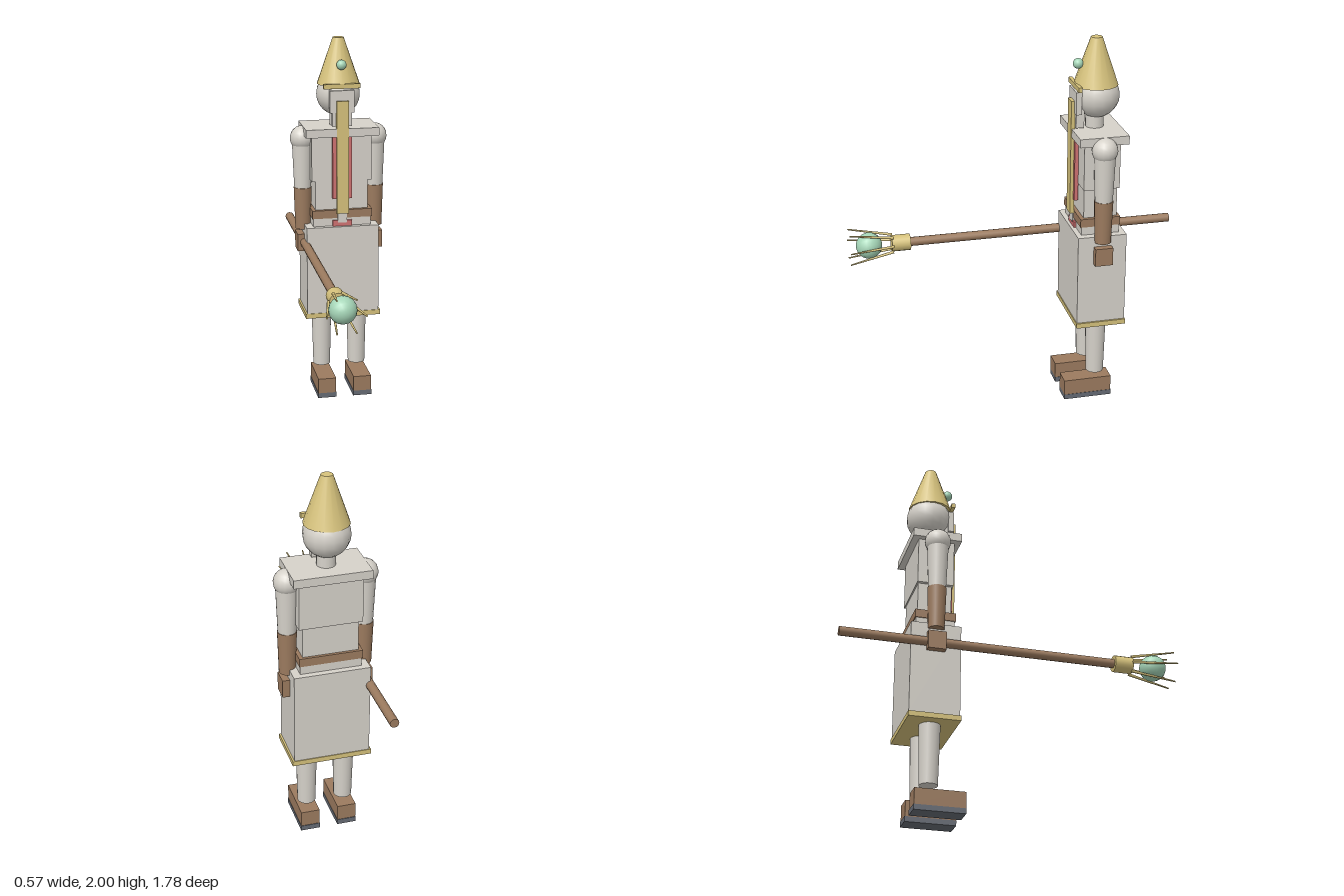
import * as THREE from 'three';

const CX = 0.014, CZ = -0.392; // body axis

export function createModel() {
  const root = new THREE.Group();
  root.name = 'staffBearer';
  const mat = (name, color) => {
    const m = new THREE.MeshStandardMaterial({ color });
    m.name = name;
    return m;
  };
  const cloth = mat('paleCloth', 0xd6d2ca);
  const gold = mat('gold', 0xd6c27c);
  const brown = mat('brownLeather', 0x9c7b5f);
  const red = mat('redTrim', 0xd07272);
  const gem = mat('greenGem', 0xa6d6b8);
  const dark = mat('darkSole', 0x666b74);

  const add = (name, geometry, material, x = 0, y = 0, z = 0, parent = root) => {
    const mesh = new THREE.Mesh(geometry, material);
    mesh.name = name;
    mesh.position.set(x, y, z);
    parent.add(mesh);
    return mesh;
  };
  // Box from its lower and upper limits on each axis
  const box = (name, material, x0, x1, y0, y1, z0, z1) =>
    add(name, new THREE.BoxGeometry(x1 - x0, y1 - y0, z1 - z0), material,
      (x0 + x1) / 2, (y0 + y1) / 2, (z0 + z1) / 2);
  // Box centred on the body's x axis
  const mid = (name, material, half, y0, y1, z0, z1) =>
    box(name, material, CX - half, CX + half, y0, y1, z0, z1);
  // Upright tapered cylinder between two heights
  const post = (name, material, x, z, y0, y1, r0, r1, sides = 16) =>
    add(name, new THREE.CylinderGeometry(r1, r0, y1 - y0, sides), material, x, (y0 + y1) / 2, z);
  const ball = (name, material, r, x, y, z) =>
    add(name, new THREE.SphereGeometry(r, 16, 12), material, x, y, z);

  // Head, hat and face
  ball('head', cloth, 0.12, CX, 1.695, -0.4);
  post('neck', cloth, CX, CZ, 1.51, 1.62, 0.048, 0.048);
  post('hat', gold, CX, -0.395, 1.75, 2, 0.117, 0.03);
  mid('hatBand', gold, 0.1, 1.74, 1.765, -0.297, -0.277);
  ball('hatGem', gem, 0.027, CX, 1.865, -0.299);
  mid('face', cloth, 0.067, 1.61, 1.73, -0.305, -0.275);
  mid('chin', cloth, 0.053, 1.535, 1.72, -0.322, -0.279);

  // Robe
  mid('collar', cloth, 0.2, 1.48, 1.525, -0.522, -0.262);
  mid('chest', cloth, 0.165, 1.23, 1.48, -0.487, -0.295);
  mid('waist', cloth, 0.145, 1.02, 1.23, -0.48, -0.302);
  mid('belt', brown, 0.165, 1.025, 1.07, -0.495, -0.281);
  mid('hips', cloth, 0.16, 0.97, 1.025, -0.49, -0.287);
  mid('skirt', cloth, 0.2, 0.485, 0.98, -0.522, -0.26);
  mid('skirtHem', gold, 0.21, 0.46, 0.487, -0.526, -0.256);
  mid('redSash', red, 0.053, 1.135, 1.48, -0.296, -0.275);
  mid('goldStole', gold, 0.033, 1.055, 1.675, -0.28, -0.258);
  mid('buckle', cloth, 0.026, 1.0, 1.06, -0.29, -0.274);
  mid('redTab', red, 0.053, 0.975, 1.012, -0.29, -0.276);

  // Limbs, mirrored about the body axis
  for (const [side, s] of [['left', 1], ['right', -1]]) {
    const armX = CX + s * 0.2, legX = CX + s * 0.1;
    ball(side + 'Shoulder', cloth, 0.068, armX, 1.457, CZ);
    post(side + 'UpperArm', cloth, armX, CZ, 1.183, 1.457, 0.047, 0.058);
    post(side + 'Forearm', brown, armX, CZ, 0.95, 1.183, 0.043, 0.05);
    add(side + 'Hand', new THREE.BoxGeometry(0.075, 0.097, 0.095), brown, armX, 0.876, CZ);
    post(side + 'Leg', cloth, legX, CZ, 0.143, 0.47, 0.048, 0.056);
    box(side + 'Shoe', brown, legX - 0.05, legX + 0.05, 0.028, 0.113, -0.472, -0.21);
    box(side + 'Sole', dark, legX - 0.052, legX + 0.052, 0, 0.028, -0.475, -0.21);
  }

  // Staff, built upright and then tipped forward along z
  const staff = new THREE.Group();
  staff.name = 'staff';
  staff.position.set(CX - 0.2, 0.876, 0);
  staff.rotation.x = Math.PI / 2;
  root.add(staff);
  add('staffShaft', new THREE.CylinderGeometry(0.024, 0.024, 1.47, 12), brown, 0, -0.155, 0, staff);
  add('staffSocket', new THREE.CylinderGeometry(0.044, 0.044, 0.1, 16), gold, 0, 0.613, 0, staff);
  add('staffOrb', new THREE.SphereGeometry(0.07, 16, 12), gem, 0, 0.783, 0, staff);

  // Ring of prongs spreading around the orb
  const up = new THREE.Vector3(0, 1, 0);
  for (let i = 0; i < 6; i++) {
    const a = (i * Math.PI) / 3;
    const from = new THREE.Vector3(Math.cos(a) * 0.047, 0.655, Math.sin(a) * 0.047);
    const to = new THREE.Vector3(Math.cos(a) * 0.096, 0.889, Math.sin(a) * 0.096);
    const dir = to.clone().sub(from);
    const prong = add('staffProng', new THREE.CylinderGeometry(0.004, 0.008, dir.length(), 8),
      gold, 0, 0, 0, staff);
    prong.position.copy(from).add(to).multiplyScalar(0.5);
    prong.quaternion.setFromUnitVectors(up, dir.normalize());
  }
  return root;
}
